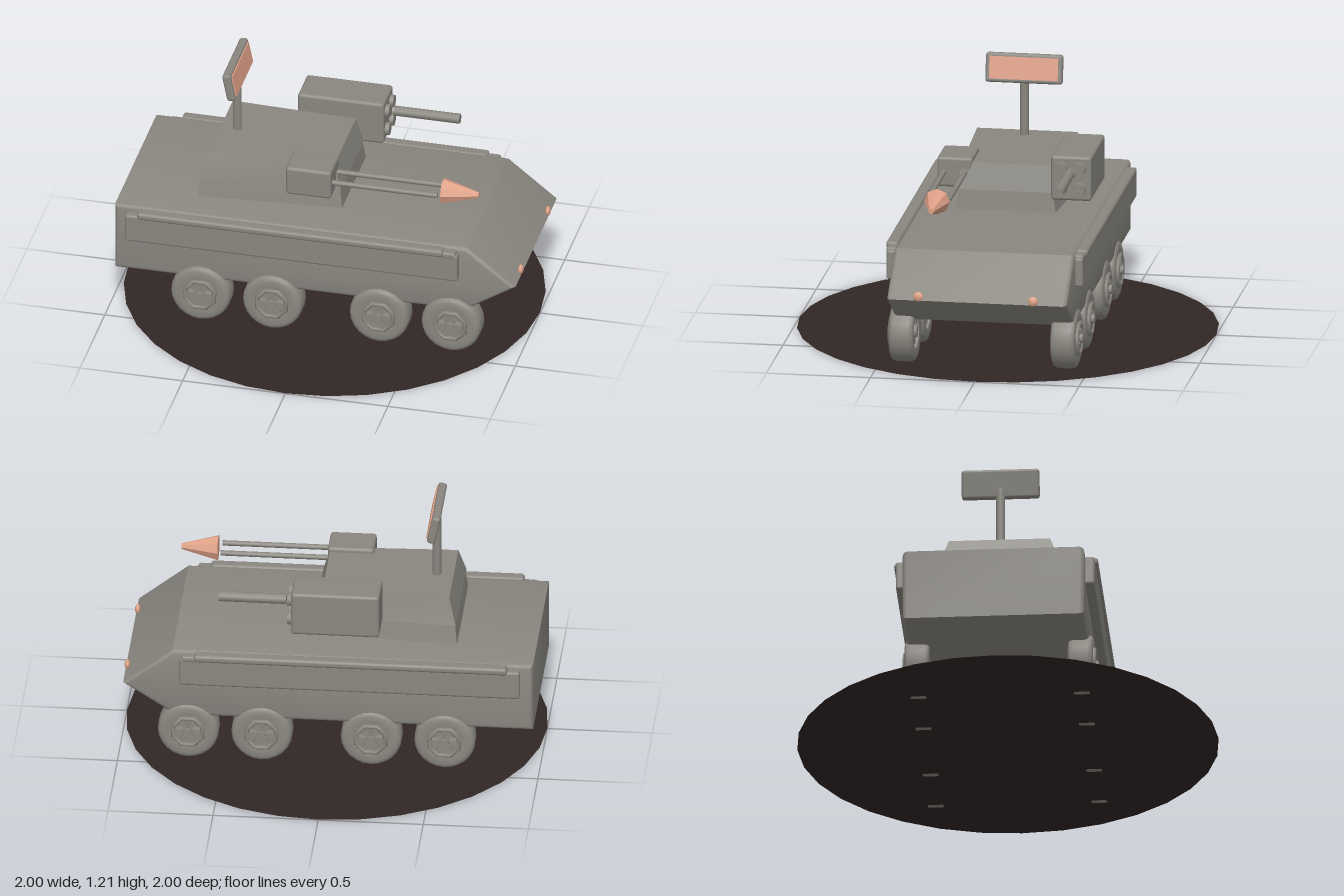
import * as THREE from 'three';
import { toCreasedNormals } from 'three/addons/utils/BufferGeometryUtils.js';
import { RoundedBoxGeometry } from 'three/addons/geometries/RoundedBoxGeometry.js';

const material = (name, color, extra = {}) => {
  const m = new THREE.MeshStandardMaterial({ color, ...extra });
  m.name = name;
  return m;
};

export function createModel() {
  const grey = material('armour grey', 0x8a8780);
  const salmon = material('salmon accent', 0xe0a288);
  const dark = material('dark ground', 0x322626, { side: THREE.DoubleSide });

  const model = new THREE.Group();
  model.name = 'armouredVehicle';

  const add = (name, geo, mat, x = 0, y = 0, z = 0, parent = model) => {
    const mesh = new THREE.Mesh(geo, mat);
    mesh.name = name;
    mesh.position.set(x, y, z);
    parent.add(mesh);
    return mesh;
  };
  // Rounded box given by its limits
  const block = (name, x0, x1, y0, y1, z0, z1, r, mat = grey) =>
    add(name, new RoundedBoxGeometry(x1 - x0, y1 - y0, z1 - z0, 2, r), mat,
      (x0 + x1) / 2, (y0 + y1) / 2, (z0 + z1) / 2);
  // Cylinder along x; r0 at the back, r1 at the front
  const rod = (name, x0, x1, y, z, r0, r1, sides, mat = grey) => {
    const geo = new THREE.CylinderGeometry(r1, r0, x1 - x0, sides).rotateZ(-Math.PI / 2);
    return add(name, geo, mat, (x0 + x1) / 2, y, z);
  };

  // Round base
  add('baseDisc', new THREE.CircleGeometry(1, 32).rotateX(-Math.PI / 2), dark, 0, 0.004, 0);

  // Hull: side profile with a wedge nose and bevelled edges
  const profile = [[-0.97, 0.225], [0.735, 0.225], [0.98, 0.385], [0.745, 0.573], [-0.97, 0.573]];
  const shape = new THREE.Shape(profile.map(([x, y]) => new THREE.Vector2(x, y)));
  const hull = new THREE.ExtrudeGeometry(shape, {
    depth: 0.82, bevelEnabled: true, bevelSize: 0.022, bevelOffset: -0.022,
    bevelThickness: 0.022, bevelSegments: 3,
  });
  add('hull', toCreasedNormals(hull, 0.6), grey, 0, 0, -0.415);

  // Side panels and their top rails
  for (const s of [-1, 1]) {
    const side = s > 0 ? 'left' : 'right';
    const zs = (a, b) => (s > 0 ? [a, b] : [-b, -a]);
    block(side + 'SidePanel', -0.91, 0.71, 0.407, 0.55, ...zs(0.42, 0.472), 0.012);
    block(side + 'SideRail', -0.85, 0.64, 0.537, 0.573, ...zs(0.425, 0.484), 0.014);
    block(side + 'RailEnd', 0.62, 0.7, 0.53, 0.562, ...zs(0.425, 0.474), 0.012);
    add(side + 'NoseLight', new THREE.SphereGeometry(0.024, 12, 8).scale(0.55, 1, 1),
      salmon, 0.973, 0.402, s * 0.275);
  }

  // Wheel, with its axis along z and the outer face at +z
  const tyreProfile = [
    [0.082, -0.055], [0.12, -0.06], [0.137, -0.052], [0.145, -0.035],
    [0.145, 0.035], [0.137, 0.052], [0.12, 0.06], [0.082, 0.055], [0.082, -0.055],
  ].map(([r, h]) => new THREE.Vector2(r, h));
  const tyreGeo = toCreasedNormals(new THREE.LatheGeometry(tyreProfile, 24).rotateX(Math.PI / 2), 0.7);
  const discGeo = new THREE.CylinderGeometry(0.084, 0.084, 0.07, 16).rotateX(Math.PI / 2);
  const ringGeo = new THREE.TorusGeometry(0.074, 0.012, 6, 8);
  const spokeGeo = new THREE.BoxGeometry(0.075, 0.024, 0.11).translate(0.038, 0, 0.01);
  const capGeo = new THREE.CylinderGeometry(0.022, 0.03, 0.14, 8).rotateX(Math.PI / 2);
  for (const s of [-1, 1]) {
    for (const x of [-0.55, -0.2, 0.32, 0.67]) {
      const wheel = new THREE.Group();
      wheel.name = s > 0 ? 'leftWheel' : 'rightWheel';
      wheel.position.set(x, 0.147, s * 0.388);
      if (s < 0) wheel.rotation.y = Math.PI;
      add('tyre', tyreGeo, grey, 0, 0, 0, wheel);
      add('wheelDisc', discGeo, grey, 0, 0, 0, wheel);
      add('hubRing', ringGeo, grey, 0, 0, 0.06, wheel).rotation.z = Math.PI / 8;
      add('hubCap', capGeo, grey, 0, 0, 0.01, wheel);
      for (let i = 0; i < 6; i++) {
        add('spoke', spokeGeo, grey, 0, 0, 0, wheel).rotation.z = (i * Math.PI) / 3;
      }
      model.add(wheel);
    }
  }

  // Turret blocks: each level is [y, back x, front x, back half width, front half width]
  const taperedBlock = (name, low, high) => {
    const geo = new THREE.BoxGeometry(1, 1, 1);
    const p = geo.attributes.position;
    for (let i = 0; i < p.count; i++) {
      const [y, xb, xf, wb, wf] = p.getY(i) < 0 ? low : high;
      const front = p.getX(i) > 0;
      p.setXYZ(i, front ? xf : xb, y, Math.sign(p.getZ(i)) * (front ? wf : wb));
    }
    geo.computeVertexNormals();
    add(name, geo, grey, 0, 0, -0.003);
  };
  taperedBlock('turretBase', [0.595, -0.597, 0.093, 0.295, 0.24], [0.695, -0.585, 0.08, 0.272, 0.225]);
  taperedBlock('turretTop', [0.69, -0.59, 0.085, 0.285, 0.235], [0.815, -0.555, 0.05, 0.24, 0.215]);

  // Twin gun with a conical tip
  block('gunHousing', -0.16, 0.06, 0.69, 0.837, 0.162, 0.332, 0.015);
  for (const z of [0.197, 0.297]) rod('gunBarrel', 0.05, 0.572, 0.766, z, 0.013, 0.013, 10);
  const cone = rod('conicalTip', 0.587, 0.762, 0.766, 0.247, 0.062, 0.014, 8, salmon);
  cone.geometry = toCreasedNormals(cone.geometry, 0.1);

  // Launcher pod with four tube covers and a central missile tube
  block('launcherPod', -0.238, 0.182, 0.682, 0.9, -0.428, -0.234, 0.015);
  for (const y of [0.742, 0.842]) {
    for (const z of [-0.282, -0.372]) rod('tubeCover', 0.17, 0.202, y, z, 0.034, 0.03, 14);
  }
  rod('centreCover', 0.17, 0.198, 0.818, -0.327, 0.028, 0.024, 12);
  rod('missileTube', 0.212, 0.533, 0.818, -0.327, 0.024, 0.024, 12).position.set(0.372, 0.819, -0.327);

  // Mast and tilted radar panel
  add('radarMast', new THREE.CylinderGeometry(0.021, 0.021, 0.31, 12), grey, -0.475, 0.96, -0.003);
  const radar = new THREE.Group();
  radar.name = 'radarPanel';
  radar.position.set(-0.475, 1.14, -0.003);
  radar.rotation.z = 0.2;
  add('radarFrame', new RoundedBoxGeometry(0.042, 0.142, 0.37, 2, 0.014), grey, 0, 0, 0, radar);
  add('radarFace', new THREE.BoxGeometry(0.008, 0.108, 0.33), salmon, 0.023, 0, 0, radar);
  model.add(radar);

  return model;
}
